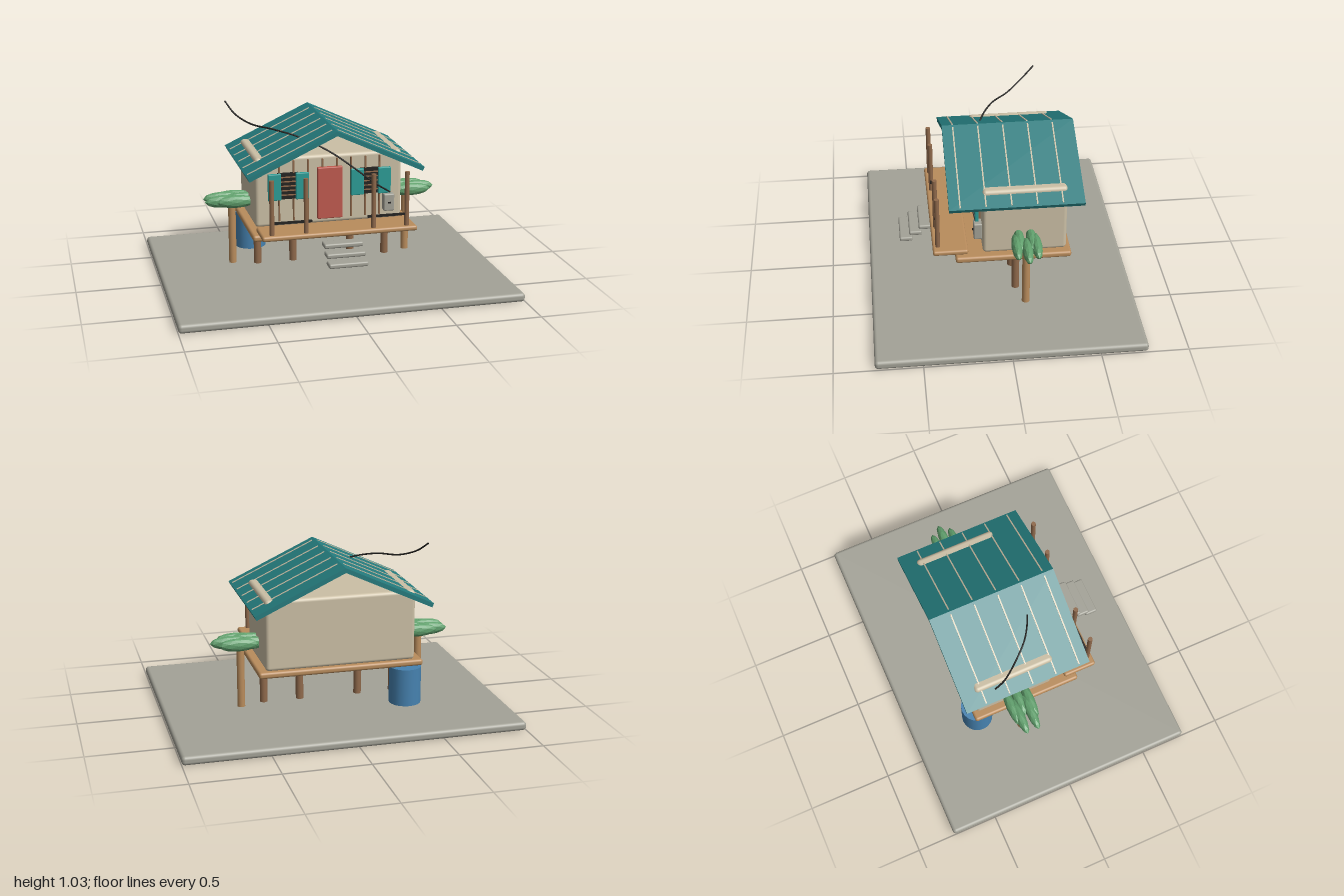
import * as THREE from 'three';
import { RoundedBoxGeometry } from 'three/addons/geometries/RoundedBoxGeometry.js';

const material = (name, color, flatShading = false) => {
  const m = new THREE.MeshStandardMaterial({ color, flatShading });
  m.name = name;
  return m;
};

export function createModel() {
  const house = new THREE.Group();
  house.name = 'stiltHouse';

  const concrete = material('concrete', 0xa3a297);
  const timber = material('timber', 0xb98c5c);
  const brown = material('brownWood', 0x8f694b);
  const plaster = material('plaster', 0xcbbfa5);
  const roofTeal = material('roofTeal', 0x257b7d);
  const shutterTeal = material('shutterTeal', 0x2b9c96);
  const red = material('doorRed', 0xc05a4e);
  const blue = material('barrelBlue', 0x4682b0);
  const green = material('leafGreen', 0x61a06d, true);
  const dark = material('dark', 0x22211f);

  const add = (name, geometry, mat, x = 0, y = 0, z = 0, parent = house) => {
    const mesh = new THREE.Mesh(geometry, mat);
    mesh.name = name;
    mesh.position.set(x, y, z);
    parent.add(mesh);
    return mesh;
  };
  // Box given by its limits on each axis, with optional rounded edges
  const box = (name, mat, [x0, x1], [y0, y1], [z0, z1], r = 0) => {
    const size = [x1 - x0, y1 - y0, z1 - z0];
    const geo = r ? new RoundedBoxGeometry(...size, 3, r) : new THREE.BoxGeometry(...size);
    return add(name, geo, mat, (x0 + x1) / 2, (y0 + y1) / 2, (z0 + z1) / 2);
  };
  const pole = (name, mat, x, z, y0, y1, r, sides = 16) =>
    add(name, new THREE.CylinderGeometry(r, r, y1 - y0, sides), mat, x, (y0 + y1) / 2, z);

  // Ground, floors and walls
  box('ground', concrete, [-1, 1], [0, 0.052], [-0.77, 0.77], 0.02);
  box('floorPlatform', timber, [-0.49, 0.49], [0.317, 0.355], [-0.397, 0.275], 0.015);
  box('verandaDeck', timber, [-0.46, 0.46], [0.356, 0.387], [0.2, 0.403], 0.013);
  box('walls', plaster, [-0.445, 0.445], [0.35, 0.772], [-0.372, 0.115], 0.022);

  // Stilts under the platform
  for (const x of [-0.4, -0.18, 0.18, 0.4]) pole('stilt', brown, x, -0.08, 0.065, 0.32, 0.023);

  // Floating steps
  for (let i = 0; i < 3; i++) {
    const y = 0.31 - i * 0.04, z = 0.393 + i * 0.058;
    box('step', concrete, [-0.115, 0.115], [y, y + 0.028], [z, z + 0.076], 0.01);
  }

  // Veranda posts and rails
  for (const x of [-0.4, -0.2, 0.2, 0.4]) pole('verandaPost', brown, x, 0.373, 0.355, 0.71, 0.014, 12);
  for (const s of [-1, 1]) {
    const xs = s < 0 ? [-0.395, -0.165] : [0.165, 0.395];
    box('rail', dark, xs, [0.45, 0.462], [0.366, 0.38]);
  }

  // Roof: a chevron section swept front to back, with open gables
  const apex = 0.957, slope = 0.466, eave = 0.525;
  const angle = Math.atan(slope);
  const chevron = new THREE.Shape();
  chevron.moveTo(0, apex);
  chevron.lineTo(-eave, apex - slope * eave);
  chevron.lineTo(-eave + 0.011, apex - slope * eave - 0.023);
  chevron.lineTo(0, apex - 0.028);
  chevron.lineTo(eave - 0.011, apex - slope * eave - 0.023);
  chevron.lineTo(eave, apex - slope * eave);
  add('roof', new THREE.ExtrudeGeometry(chevron, { depth: 0.77, bevelEnabled: false }), roofTeal, 0, 0, -0.46);

  // Thin seams on both roof slopes
  for (let i = 0; i < 5; i++) {
    for (const s of [-1, 1]) {
      const seam = add('roofSeam', new THREE.BoxGeometry(0.55, 0.006, 0.008), plaster,
        s * 0.265, apex - slope * 0.265 + 0.001, 0.247 - i * 0.1455);
      seam.rotation.z = -s * angle;
    }
  }

  // Wall battens
  for (let i = 0; i < 8; i++) {
    const x = -0.305 + i * 0.0871;
    box('wallBatten', brown, [x - 0.004, x + 0.004], [0.385, 0.75], [0.11, 0.132]);
  }

  // Door
  box('door', red, [-0.076, 0.076], [0.385, 0.7], [0.112, 0.142], 0.006);

  // Louvred windows with open shutters
  for (const x of [-0.253, 0.247]) {
    box('windowPane', dark, [x - 0.06, x + 0.06], [0.522, 0.678], [0.112, 0.137]);
    for (let i = 0; i < 5; i++) {
      const y = 0.545 + i * 0.027;
      box('louvre', brown, [x - 0.048, x + 0.048], [y, y + 0.006], [0.13, 0.144]);
    }
    for (const s of [-1, 1]) {
      const c = x + s * 0.083;
      box('shutter', shutterTeal, [c - 0.039, c + 0.039], [0.52, 0.68], [0.132, 0.153], 0.005);
    }
  }

  // Meter box and its overhead cable
  box('meterBox', concrete, [0.325, 0.39], [0.41, 0.515], [0.112, 0.162], 0.008);
  box('meterDial', dark, [0.35, 0.365], [0.457, 0.467], [0.16, 0.168]);
  const cablePath = new THREE.CatmullRomCurve3([
    [-0.545, 1.03, -0.295], [-0.5, 0.967, -0.215], [-0.42, 0.923, -0.12], [-0.31, 0.911, -0.008],
    [-0.17, 0.875, 0.072], [0, 0.79, 0.122], [0.14, 0.69, 0.155], [0.26, 0.595, 0.165], [0.365, 0.525, 0.15],
  ].map((p) => new THREE.Vector3(...p)));
  add('cable', new THREE.TubeGeometry(cablePath, 60, 0.005, 8), dark);

  // Water barrel
  pole('waterBarrel', blue, -0.393, -0.353, 0.09, 0.313, 0.094, 20);

  // Trees: a trunk with five flattened leaf clumps in a ring
  for (const x of [-0.545, 0.545]) {
    pole('treeTrunk', timber, x, -0.125, 0.065, 0.46, 0.023);
    for (let i = 0; i < 5; i++) {
      const a = (i / 5) * Math.PI * 2;
      const leaf = add('leafClump', new THREE.IcosahedronGeometry(1, 1), green,
        x + Math.cos(a) * 0.06, 0.465, -0.125 + Math.sin(a) * 0.06);
      leaf.scale.set(0.12, 0.04, 0.031);
    }
  }

  return house;
}
